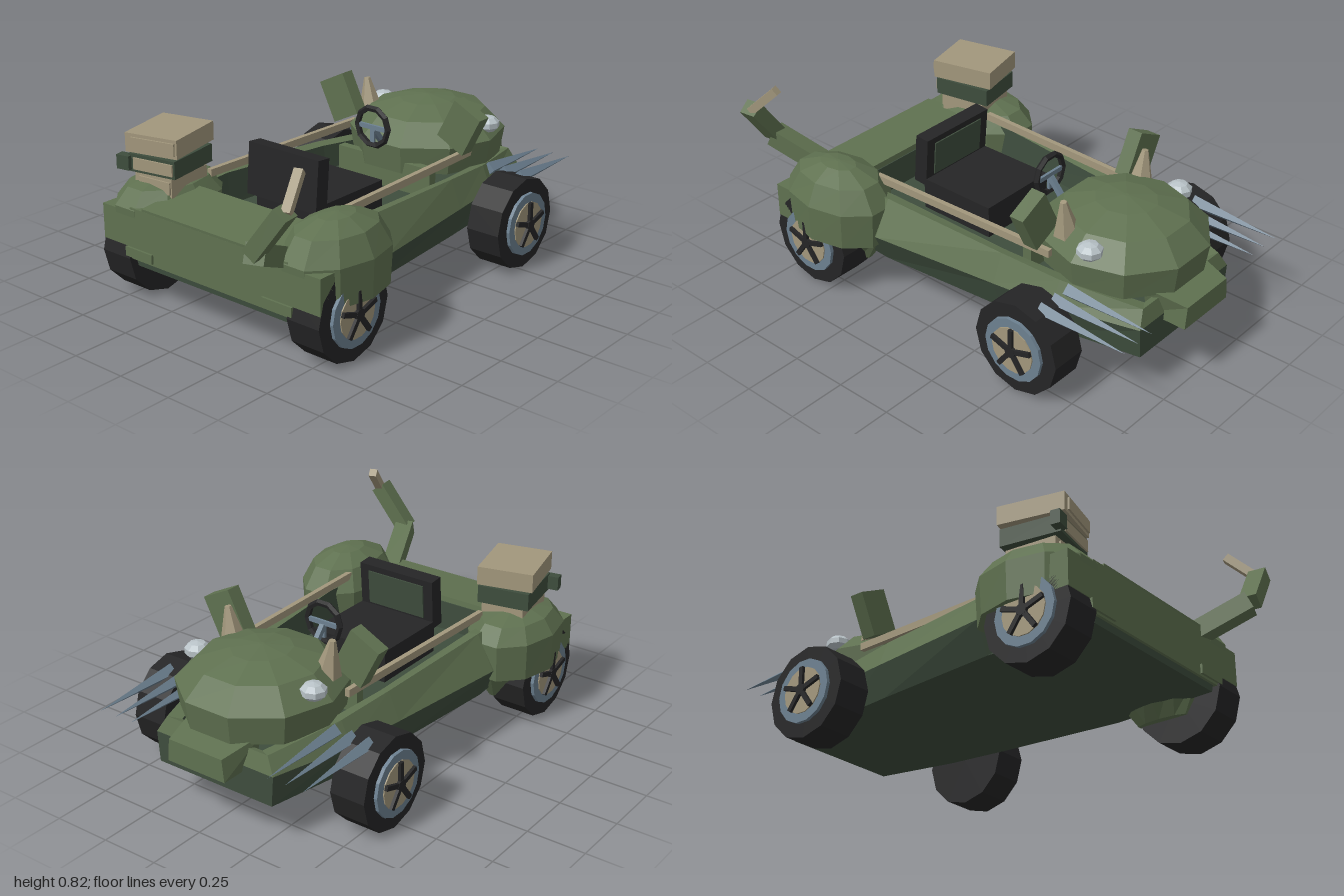
import * as THREE from 'three';

const mat = (name, color) => Object.assign(new THREE.MeshStandardMaterial({ color, flatShading: true }), { name });

export function createModel() {
  const green = mat('olive green', 0x5f7150), dark = mat('dark green', 0x3e4d3d);
  const black = mat('black rubber', 0x252526), tan = mat('tan', 0xa2977c);
  const steel = mat('blue steel', 0x6c8090), glass = mat('pale grey', 0xb9c3c8);
  const model = new THREE.Group();
  model.name = 'buggy';

  const add = (name, geo, material, pos = [0, 0, 0], rot = [0, 0, 0], parent = model) => {
    const m = new THREE.Mesh(geo, material);
    m.name = name;
    m.position.set(...pos);
    m.rotation.set(...rot);
    parent.add(m);
    return m;
  };
  const box = (name, size, material, pos, rot, parent) =>
    add(name, new THREE.BoxGeometry(...size), material, pos, rot, parent);
  // bar between two points
  const beam = (name, a, b, w, d, material) => {
    const p = new THREE.Vector3(...a), q = new THREE.Vector3(...b);
    const m = box(name, [w, d, p.distanceTo(q)], material);
    m.position.copy(p).add(q).multiplyScalar(0.5);
    m.lookAt(q);
    return m;
  };

  // skin over horizontal rings, each counterclockwise from above, listed bottom to top
  const loft = (rings, capBottom, capTop) => {
    const out = [], n = rings[0].length;
    for (let i = 0; i < rings.length - 1; i++) for (let j = 0; j < n; j++) {
      const k = (j + 1) % n, a = rings[i][j], b = rings[i][k], c = rings[i + 1][k], d = rings[i + 1][j];
      out.push(...a, ...b, ...c, ...a, ...c, ...d);
    }
    const cap = (ring, up) => {
      const c = [0, 1, 2].map(t => ring.reduce((s, p) => s + p[t], 0) / n);
      ring.forEach((p, j) => {
        const q = ring[(j + 1) % n];
        out.push(...c, ...(up ? p : q), ...(up ? q : p));
      });
    };
    if (capBottom) cap(rings[0], false);
    if (capTop) cap(rings[rings.length - 1], true);
    const g = new THREE.BufferGeometry();
    g.setAttribute('position', new THREE.Float32BufferAttribute(out, 3));
    g.computeVertexNormals();
    return g;
  };
  const ellipse = (cx, y, cz, rx, rz, n = 10) => Array.from({ length: n }, (_, i) => {
    const a = i / n * Math.PI * 2;
    return [cx + Math.cos(a) * rx, y, cz - Math.sin(a) * rz];
  });
  // mirrored outline from [half width, y, z] listed front to back
  const outline = pts => [...pts, ...pts.slice().reverse().map(([x, y, z]) => [-x, y, z])];

  // hull
  const sill = outline([[0.42, 0.28, 0.79], [0.49, 0.3, 0.3], [0.42, 0.3, -0.28], [0.385, 0.3, -0.55], [0.29, 0.3, -0.9]]);
  const rim = outline([[0.4, 0.42, 0.79], [0.41, 0.45, 0.3], [0.37, 0.42, -0.28], [0.34, 0.4, -0.55], [0.25, 0.37, -0.88]]);
  add('lowerHull', loft([
    outline([[0.4, 0.17, 0.78], [0.43, 0.17, 0.3], [0.38, 0.17, -0.28], [0.35, 0.17, -0.55], [0.28, 0.17, -0.9]]), sill,
  ], true, false), dark);
  add('upperHull', loft([sill, rim], false, false), green);
  const lip = outline([[0.36, 0.42, 0.76], [0.36, 0.44, 0.3], [0.33, 0.41, -0.28], [0.29, 0.39, -0.55], [0.2, 0.36, -0.85]]);
  add('hullLip', loft([rim, lip], false, false), green);
  add('cockpitTub', loft([lip, lip.map(([x, , z]) => [x * 0.97, 0.3, z])], false, true), dark);
  box('frontPanel', [0.84, 0.22, 0.02], green, [0, 0.31, 0.785]);
  box('deck', [0.7, 0.03, 0.28], green, [0, 0.43, 0.655], [0.1, 0, 0]);
  box('deckBulkhead', [0.68, 0.13, 0.02], dark, [0, 0.37, 0.52]);
  box('dash', [0.5, 0.14, 0.04], green, [0, 0.36, -0.31]);

  // domed tail hood and its blunt end
  add('hood', loft([
    ellipse(0, 0.38, -0.6, 0.32, 0.33), ellipse(0, 0.5, -0.6, 0.34, 0.347),
    ellipse(0, 0.59, -0.6, 0.25, 0.26), ellipse(0, 0.63, -0.6, 0.12, 0.13), ellipse(0, 0.645, -0.6, 0.01, 0.01),
  ], true, true), green);
  add('tailBlock', loft([
    outline([[0.14, 0.27, -0.82], [0.14, 0.27, -1]]), outline([[0.17, 0.4, -0.82], [0.13, 0.365, -1]]),
  ], true, true), green);

  // seat
  box('seatCushion', [0.37, 0.14, 0.36], black, [0, 0.37, 0.13]);
  box('seatBack', [0.37, 0.22, 0.065], black, [0, 0.52, 0.325], [-0.08, 0, 0]);
  box('seatPad', [0.28, 0.15, 0.008], dark, [0, 0.525, 0.29], [-0.08, 0, 0]);

  // steering
  add('steeringWheel', new THREE.TorusGeometry(0.083, 0.014, 5, 10), black, [0, 0.588, -0.215]);
  box('steeringSpoke', [0.15, 0.02, 0.012], steel, [0, 0.585, -0.217]);
  box('steeringLowerSpoke', [0.02, 0.08, 0.012], steel, [0, 0.545, -0.217]);
  beam('steeringColumn', [0, 0.575, -0.22], [0, 0.47, -0.31], 0.022, 0.022, steel);

  for (const s of [1, -1]) {
    // front fenders
    const fx = s * 0.447, top = s > 0 ? 0.555 : 0.51;
    add('fender', loft([
      ellipse(fx, 0.25, 0.548, 0.175, 0.25), ellipse(fx, 0.41, 0.548, 0.18, 0.262),
      ellipse(fx, 0.41 + (top - 0.41) * 0.65, 0.548, 0.135, 0.2),
      ellipse(fx, top - 0.008, 0.548, 0.06, 0.09), ellipse(fx, top, 0.548, 0.008, 0.01),
    ], true, true), green);
    add('innerFender', loft([ellipse(s * 0.42, 0.115, 0.53, 0.03, 0.12), ellipse(s * 0.42, 0.26, 0.53, 0.15, 0.22)], true, false), green);
    box('fenderFace', [0.23, 0.15, 0.1], green, [s * 0.463, 0.325, 0.745]);
    box('bumperStub', [0.15, 0.04, 0.04], green, [s * 0.37, 0.23, 0.785]);

    // side rail, ear flap, horn and lamp
    beam('sideRail', [s * 0.345, 0.478, 0.42], [s * 0.315, 0.478, -0.48], 0.022, 0.032, tan);
    box('earFlap', [0.145, 0.19, 0.065], green, [s * 0.327, 0.61, -0.41], [0, 0, -s * 0.464]);
    add('horn', new THREE.CylinderGeometry(0.014, 0.055, 0.15, 6), tan, [s * 0.247, 0.617, -0.495], [0, 0, -s * 0.16]);
    const lamp = add('lamp', new THREE.SphereGeometry(0.055, 8, 5), glass, [s * 0.288, 0.553, -0.65]);
    lamp.scale.y = 0.68;

    // rear spikes
    for (const x of [0.34, 0.42, 0.5])
      add('spike', new THREE.ConeGeometry(0.032, 0.4, 4), steel, [s * x, 0.365, -0.79], [-Math.PI / 2 - 0.03, 0, 0]);

    // wheels
    for (const z of [0.605, -0.53]) {
      const wheel = new THREE.Group();
      wheel.name = z > 0 ? 'frontWheel' : 'rearWheel';
      wheel.position.set(s * 0.5, 0.2, z);
      wheel.rotation.y = s > 0 ? 0 : Math.PI;
      model.add(wheel);
      const disc = (name, r, x0, x1, m, n) =>
        add(name, new THREE.CylinderGeometry(r, r, x1 - x0, n), m, [(x0 + x1) / 2, 0, 0], [0, 0, -Math.PI / 2], wheel);
      disc('tire', 0.2, -0.078, 0.078, black, 12);
      disc('rim', 0.138, 0.07, 0.093, steel, 14);
      disc('hubPlate', 0.1, 0.08, 0.098, tan, 14);
      disc('hub', 0.025, 0.09, 0.112, black, 8);
      for (let i = 0; i < 5; i++) {
        const a = i / 5 * Math.PI * 2;
        box('spoke', [0.014, 0.1, 0.02], black, [0.104, Math.cos(a) * 0.05, Math.sin(a) * 0.05], [a, 0, 0], wheel);
      }
    }
  }

  // stacked cases on one fender
  const cases = [
    ['lowerCase', 0.485, 0.08, 0.19, 0.22, 0.1, tan, tan],
    ['middleCase', 0.57, 0.075, 0.225, 0.26, 0.18, dark, tan],
    ['upperCase', 0.66, 0.08, 0.24, 0.28, 0.24, tan, tan],
  ];
  for (const [name, y, h, w, d, turn, body, face] of cases) {
    const g = new THREE.Group();
    g.name = name;
    g.position.set(-0.417, y, 0.565);
    g.rotation.y = turn;
    model.add(g);
    box(name + 'Body', [w, h, d], body, [0, 0, 0], [0, 0, 0], g);
    box(name + 'Panel', [w * 0.84, h * 0.65, 0.008], face, [0.01, 0, d / 2 + 0.004], [0, 0, 0], g);
  }
  box('caseLatch', [0.06, 0.06, 0.04], dark, [-0.52, 0.57, 0.715], [0, 0.18, 0]);

  // jointed arm on the other fender
  beam('armBase', [0.335, 0.4, 0.73], [0.425, 0.515, 0.97], 0.08, 0.08, green);
  beam('armMiddle', [0.42, 0.515, 0.97], [0.555, 0.7, 0.95], 0.075, 0.065, green);
  beam('armTip', [0.555, 0.69, 0.945], [0.512, 0.808, 0.825], 0.035, 0.035, tan);
  return model;
}
